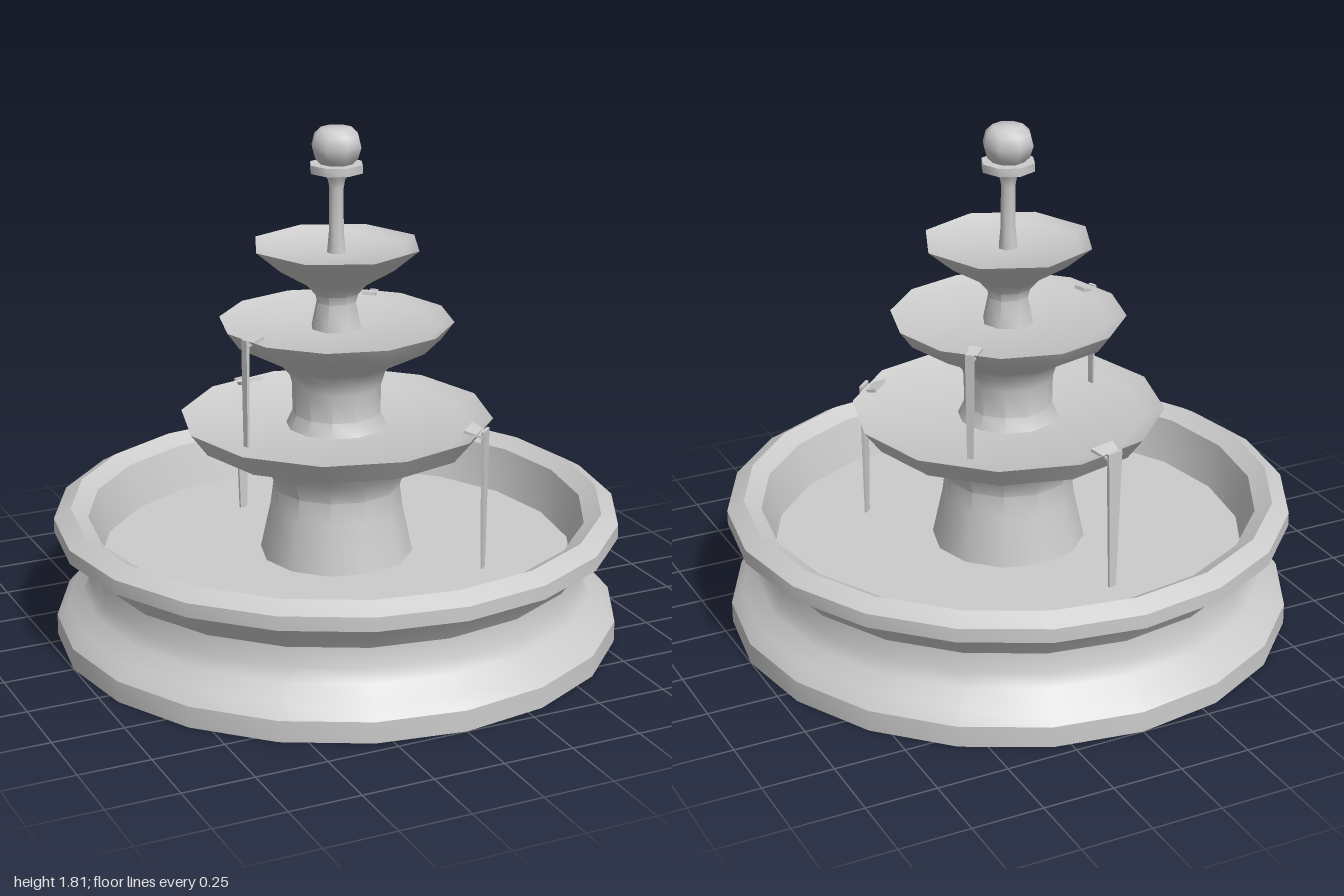
import * as THREE from 'three';
import { toCreasedNormals } from 'three/addons/utils/BufferGeometryUtils.js';

const material = new THREE.MeshStandardMaterial({ color: 0xcccccc, side: THREE.DoubleSide });

// Turned stone part: profile of [radius, height] from the bottom up the outside and back inside
function turned(name, sides, crease, profile) {
  const points = profile.map(([r, y]) => new THREE.Vector2(r, y));
  const geometry = toCreasedNormals(new THREE.LatheGeometry(points, sides), crease);
  const mesh = new THREE.Mesh(geometry, material);
  mesh.name = name;
  return mesh;
}

// Box whose width and depth blend from bottom to top
function taperedBox(bottomWidth, topWidth, height, bottomDepth, topDepth) {
  const geometry = new THREE.BoxGeometry(1, height, 1);
  const p = geometry.attributes.position;
  for (let i = 0; i < p.count; i++) {
    const top = p.getY(i) > 0;
    p.setX(i, p.getX(i) * (top ? topWidth : bottomWidth));
    p.setZ(i, p.getZ(i) * (top ? topDepth : bottomDepth));
  }
  geometry.computeVertexNormals();
  return geometry;
}

// Thin stream of water hanging from a bowl rim, with a small lip where it spills over
function waterfall(name, angle, radius, top, bottom, width, endWidth) {
  const group = new THREE.Group();
  group.name = name;
  const height = top - bottom;
  const stream = new THREE.Mesh(taperedBox(endWidth, width, height, 0.008, 0.012), material);
  stream.name = 'stream';
  stream.position.set(0, bottom + height / 2, radius);
  const lip = new THREE.Mesh(taperedBox(width, width * 1.6, 0.07, 0.008, 0.012), material);
  lip.name = 'lip';
  lip.rotation.x = Math.PI / 2 - 0.3;
  lip.rotation.x *= -1;
  lip.position.set(0, top - 0.01, radius - 0.03);
  group.add(stream, lip);
  group.rotation.y = angle;
  return group;
}

export function createModel() {
  const model = new THREE.Group();
  model.name = 'fountain';

  // Wide ground basin with a waisted wall and a bevelled rim
  model.add(turned('basin', 20, 0.6, [
    [0, 0], [1, 0], [1, 0.075], [0.96, 0.12], [0.905, 0.165], [0.88, 0.21], [0.875, 0.28],
    [0.91, 0.33], [0.955, 0.385], [1, 0.39], [1, 0.44], [0.94, 0.475],
    [0.88, 0.44], [0.84, 0.28], [0, 0.28],
  ]));

  // Three bowls, each on its own flared pedestal
  model.add(turned('lowerTier', 12, 0.65, [
    [0.272, 0.28], [0.235, 0.45], [0.225, 0.53], [0.25, 0.6], [0.32, 0.67],
    [0.49, 0.705], [0.55, 0.785], [0.48, 0.755], [0, 0.75],
  ]));
  model.add(turned('middleTier', 12, 0.65, [
    [0.178, 0.75], [0.155, 0.8], [0.157, 0.9], [0.17, 0.945], [0.205, 0.985],
    [0.365, 1.07], [0.41, 1.132], [0.36, 1.11], [0, 1.105],
  ]));
  model.add(turned('upperTier', 8, 0.8, [
    [0.092, 1.105], [0.072, 1.2], [0.08, 1.23], [0.11, 1.265],
    [0.21, 1.325], [0.3, 1.402], [0.26, 1.378], [0, 1.374],
  ]));

  // Slim column, collar and ball on top
  model.add(turned('column', 8, 0.9, [
    [0.034, 1.374], [0.027, 1.45], [0.026, 1.6], [0.032, 1.63], [0.05, 1.656],
  ]));
  model.add(turned('collar', 8, 0.9, [
    [0, 1.656], [0.095, 1.656], [0.095, 1.685], [0, 1.685],
  ]));
  model.add(turned('ball', 8, 1.0, [
    [0.055, 1.683], [0.078, 1.705], [0.09, 1.745], [0.08, 1.785], [0.055, 1.808], [0, 1.81],
  ]));

  // Streams spilling over the middles of rim edges
  const deg = Math.PI / 180;
  model.add(waterfall('lowerFrontWaterfall', 45 * deg, 0.545, 0.79, 0.28, 0.062, 0.03));
  model.add(waterfall('lowerBackWaterfall', 195 * deg, 0.54, 0.79, 0.28, 0.062, 0.03));
  model.add(waterfall('middleBackWaterfall', 135 * deg, 0.402, 1.135, 0.75, 0.03, 0.022));
  model.add(waterfall('middleSideWaterfall', -75 * deg, 0.402, 1.135, 0.75, 0.03, 0.022));

  return model;
}
